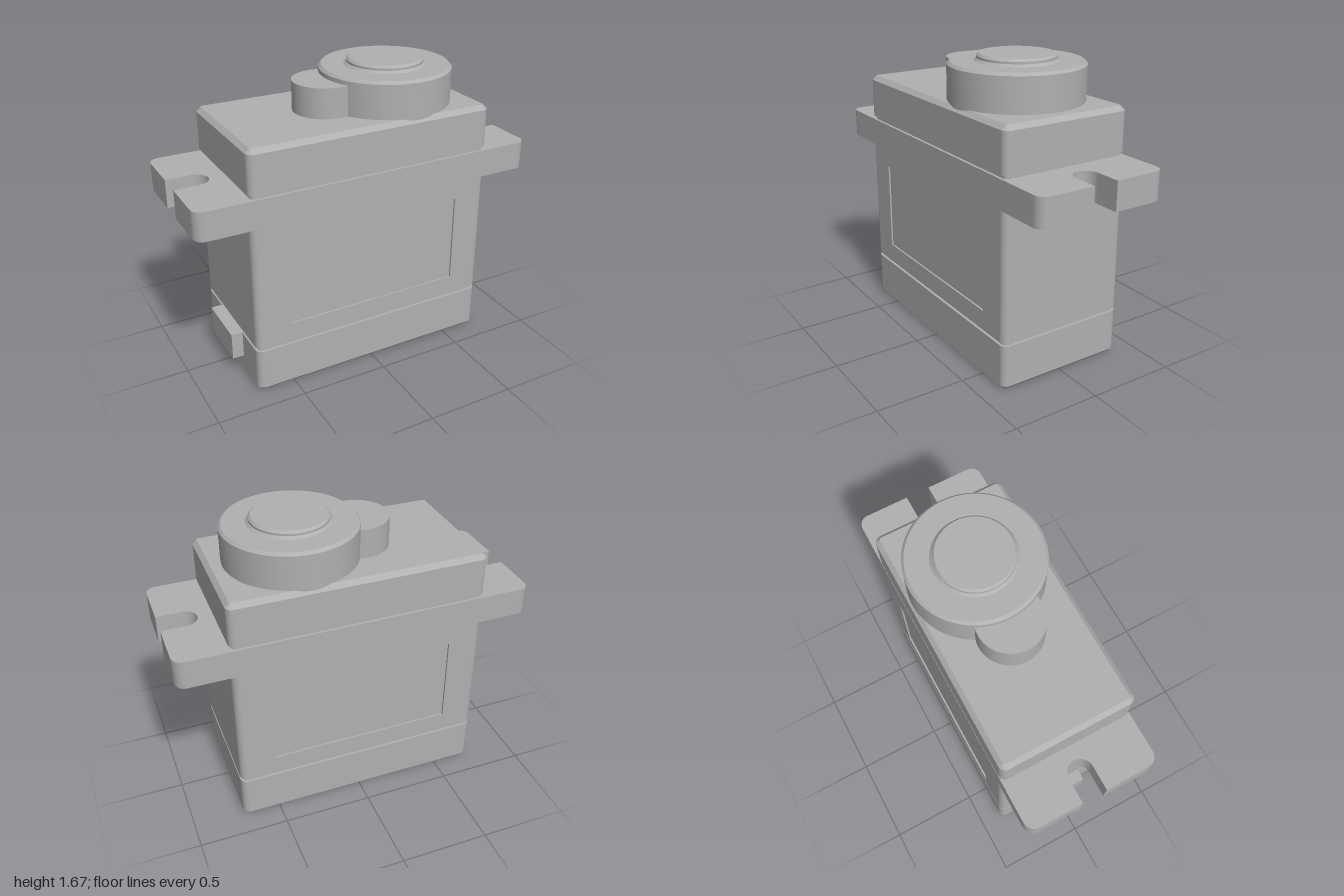
import * as THREE from 'three';
import { toCreasedNormals } from 'three/addons/utils/BufferGeometryUtils.js';

const W = 0.715, D = 0.38, R = 0.04; // case half width, half depth, corner radius
const HALF_PI = Math.PI / 2;

export function createModel() {
  const plastic = new THREE.MeshStandardMaterial({ color: 0xb0b0b0 });
  plastic.name = 'grey plastic';
  const root = new THREE.Group();
  root.name = 'servoMotor';

  const add = (name, geometry, parent = root) => {
    const mesh = new THREE.Mesh(geometry, plastic);
    mesh.name = name;
    parent.add(mesh);
    return mesh;
  };
  const section = (name) => {
    const g = new THREE.Group();
    g.name = name;
    root.add(g);
    return g;
  };

  // Rounded-rectangle outline, each point with its outward direction
  const outline = (inset) => {
    const pts = [];
    const centres = [[1, 1], [-1, 1], [-1, -1], [1, -1]];
    centres.forEach(([sx, sz], k) => {
      for (let i = 0; i <= 6; i++) {
        const a = (k + i / 6) * HALF_PI;
        const nx = Math.cos(a), nz = Math.sin(a);
        pts.push({ x: sx * (W - R) + nx * (R - inset), z: sz * (D - R) + nz * (R - inset), nx, nz });
      }
    });
    return pts;
  };

  // Walls through [height, inset] levels; openFaces leaves out the front and back
  const walls = (levels, openFaces = false) => {
    const pos = [], nor = [], idx = [];
    for (let l = 0; l < levels.length - 1; l++) {
      const [y0, i0] = levels[l], [y1, i1] = levels[l + 1];
      const len = Math.hypot(y1 - y0, i1 - i0);
      const out = (y1 - y0) / len, up = (i1 - i0) / len;
      const lower = outline(i0), upper = outline(i1), n = lower.length;
      const base = pos.length / 3;
      for (let j = 0; j < n; j++) {
        for (const [p, y] of [[lower[j], y0], [upper[j], y1]]) {
          pos.push(p.x, y, p.z);
          nor.push(p.nx * out, up, p.nz * out);
        }
        if (openFaces && (j === 6 || j === 20)) continue;
        const a = base + j * 2, b = base + ((j + 1) % n) * 2;
        idx.push(a, a + 1, b + 1, a, b + 1, b);
      }
    }
    const g = new THREE.BufferGeometry();
    g.setAttribute('position', new THREE.Float32BufferAttribute(pos, 3));
    g.setAttribute('normal', new THREE.Float32BufferAttribute(nor, 3));
    g.setIndex(idx);
    return g;
  };

  // Flat cap facing up (dir 1) or down (dir -1)
  const cap = (y, inset, dir, holes = []) => {
    const shape = new THREE.Shape(outline(inset).map((p) => new THREE.Vector2(p.x, p.z)));
    shape.holes.push(...holes);
    return new THREE.ShapeGeometry(shape).rotateX(-dir * HALF_PI).translate(0, y, 0);
  };

  // Bottom cover with four screw recesses
  const base = section('bottomCover');
  const holeR = 0.055, holeDepth = 0.04;
  const spots = [[0.6, 0.29], [-0.6, 0.29], [-0.6, -0.29], [0.6, -0.29]];
  add('bottomWalls', walls([[0, 0.025], [0.025, 0], [0.262, 0]]), base);
  add('bottomTopFace', cap(0.262, 0, 1), base);
  add('bottomFace', cap(0, 0.025, -1, spots.map(([x, z]) =>
    new THREE.Path().absarc(x, z, holeR, 0, Math.PI * 2, true))), base);
  for (const [x, z] of spots) {
    // Profile runs down the bore so that it faces inwards, then closes the recess
    const bore = new THREE.LatheGeometry([
      new THREE.Vector2(0, holeDepth), new THREE.Vector2(holeR, holeDepth), new THREE.Vector2(holeR, 0),
    ].reverse().map((p) => p), 24);
    const flipped = bore.toNonIndexed();
    const p = flipped.attributes.position;
    // Make every face point towards the inside of the recess
    const a = new THREE.Vector3(), b = new THREE.Vector3(), c = new THREE.Vector3();
    const centre = new THREE.Vector3(0, holeDepth / 2, 0), n = new THREE.Vector3();
    for (let i = 0; i < p.count; i += 3) {
      [a, b, c].forEach((v, k) => v.fromBufferAttribute(p, i + k));
      n.subVectors(b, a).cross(c.clone().sub(a));
      if (n.dot(centre.clone().sub(a)) < 0) {
        p.setXYZ(i + 1, c.x, c.y, c.z);
        p.setXYZ(i + 2, b.x, b.y, b.z);
      }
    }
    add('screwRecess', toCreasedNormals(flipped, 0.5), base).position.set(x, 0, z);
  }

  // Shadow gaps between the three case sections
  add('lowerGroove', walls([[0.25, 0.015], [0.29, 0.015]]));
  add('upperGroove', walls([[1.15, 0.015], [1.19, 0.015]]));

  // Middle case: rounded ends, front and back with a recessed label panel
  const middle = section('middleCase');
  add('middleEnds', walls([[0.28, 0], [1.16, 0]], true), middle);
  add('middleBottomFace', cap(0.28, 0, -1), middle);
  add('middleTopFace', cap(1.16, 0, 1), middle);
  const rect = (path, x, y0, y1) =>
    path.moveTo(-x, y0).lineTo(x, y0).lineTo(x, y1).lineTo(-x, y1).closePath();
  const face = rect(new THREE.Shape(), W - R, 0.28, 1.16);
  face.holes.push(rect(new THREE.Path(), 0.52, 0.39, 0.9));
  for (const turn of [0, Math.PI]) {
    const side = new THREE.Group();
    side.name = turn ? 'backFace' : 'frontFace';
    side.rotation.y = turn;
    middle.add(side);
    add('faceFrame', new THREE.ExtrudeGeometry(face, { depth: 0.01, bevelEnabled: false }), side)
      .position.z = D - 0.01;
    add('recessedPanel', new THREE.PlaneGeometry(1.04, 0.51), side).position.set(0, 0.645, D - 0.01);
  }

  // Mounting ears with open screw slots
  const ear = new THREE.Shape();
  const x0 = W - R, c = 0.06, s = 0.07;
  ear.moveTo(x0, -D).lineTo(1 - c, -D);
  ear.absarc(1 - c, -D + c, c, -HALF_PI, 0, false);
  ear.lineTo(1, -s).lineTo(0.86, -s);
  ear.absarc(0.86, 0, s, -HALF_PI, HALF_PI, true);
  ear.lineTo(1, s).lineTo(1, D - c);
  ear.absarc(1 - c, D - c, c, 0, HALF_PI, false);
  ear.lineTo(x0, D).closePath();
  const earGeometry = toCreasedNormals(new THREE.ExtrudeGeometry(ear,
    { depth: 0.16, bevelEnabled: false, curveSegments: 16 }).rotateX(-HALF_PI), 0.5);
  add('leftMountingEar', earGeometry).position.y = 1;
  const rightEar = add('rightMountingEar', earGeometry);
  rightEar.position.y = 1;
  rightEar.rotation.y = Math.PI;

  // Top cover
  const top = section('topCover');
  add('topWalls', walls([[1.18, 0], [1.4, 0], [1.425, 0.025]]), top);
  add('topUnderside', cap(1.18, 0, -1), top);
  add('topFace', cap(1.425, 0.025, 1), top);

  // Round gear housing, output boss and the small gear bump
  const turned = (profile) => toCreasedNormals(
    new THREE.LatheGeometry(profile.map(([r, y]) => new THREE.Vector2(r, y)), 64), 0.4);
  add('gearHousing', turned([[0.368, 1.405], [0.368, 1.615], [0.353, 1.63], [0, 1.63]]))
    .position.x = 0.265;
  add('outputBoss', turned([[0.226, 1.63], [0.212, 1.643], [0.212, 1.655], [0.2, 1.667], [0, 1.667]]))
    .position.x = 0.265;
  add('gearBump', turned([[0.18, 1.42], [0.18, 1.592], [0, 1.592]])).position.x = -0.105;

  // Cable outlet on the right end
  add('cableOutlet', new THREE.BoxGeometry(0.085, 0.155, 0.32)).position.set(-0.7375, 0.1875, 0);

  return root;
}
